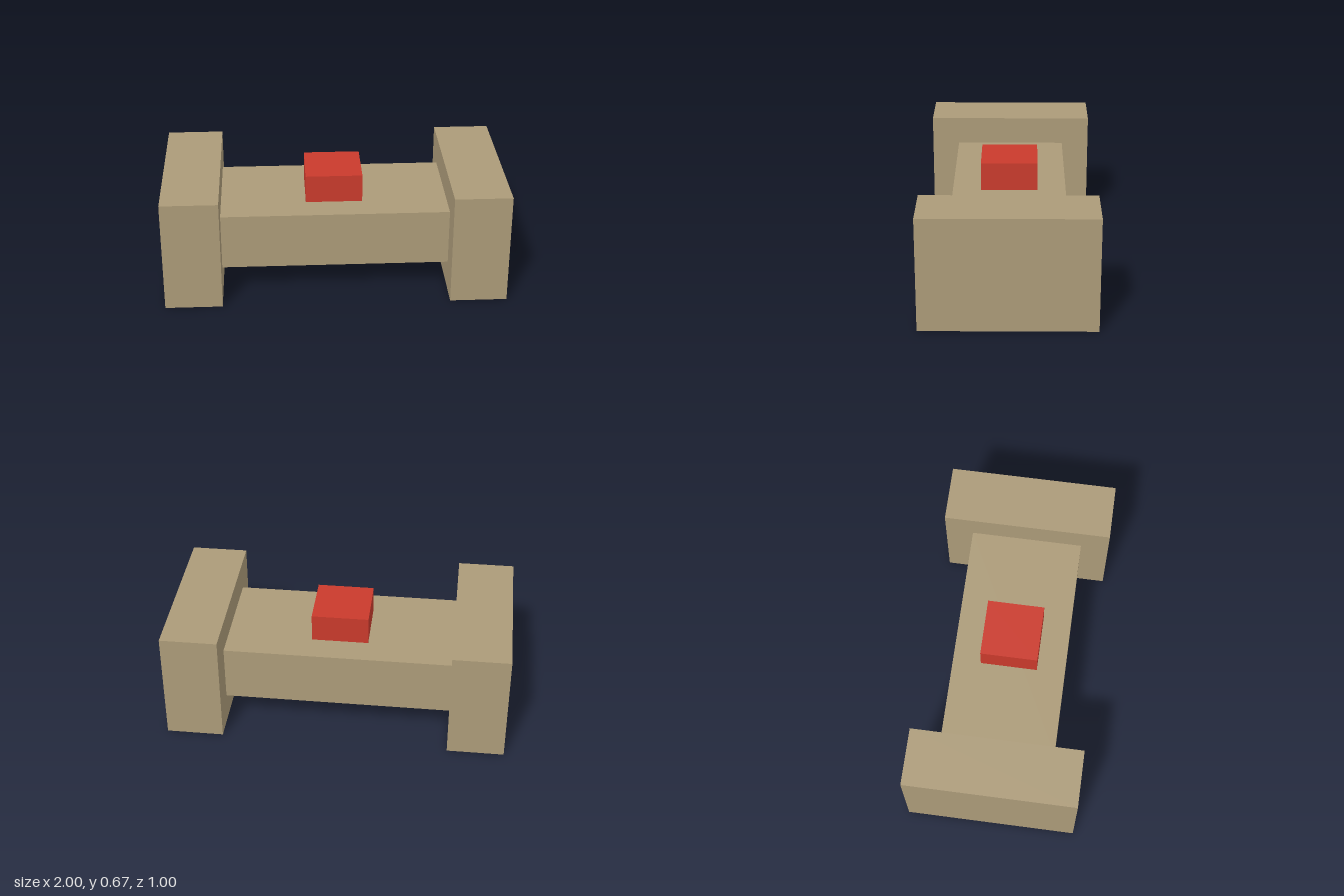
import * as THREE from 'three';

const U = 1 / 6; // every size is a multiple of this unit

export function createModel() {
  const group = new THREE.Group();
  const tan = new THREE.MeshStandardMaterial({ name: 'tan', color: 0xab9a78 });
  const red = new THREE.MeshStandardMaterial({ name: 'red', color: 0xc93a2c });

  // Box sized in units, placed by the centre of its underside
  function addBox(name, material, [w, h, d], x, bottom) {
    const mesh = new THREE.Mesh(new THREE.BoxGeometry(w * U, h * U, d * U), material);
    mesh.name = name;
    mesh.position.set(x * U, (bottom + h / 2) * U, 0);
    group.add(mesh);
  }

  // End blocks, mirrored
  for (const side of [1, -1]) {
    addBox(side > 0 ? 'leftEndBlock' : 'rightEndBlock', tan, [2, 4, 6], side * 5, 0);
  }

  // Bar between the end blocks, with a button on top
  addBox('crossbar', tan, [8, 2, 4], 0, 1);
  addBox('button', red, [2, 1, 2], 0, 3);

  return group;
}
